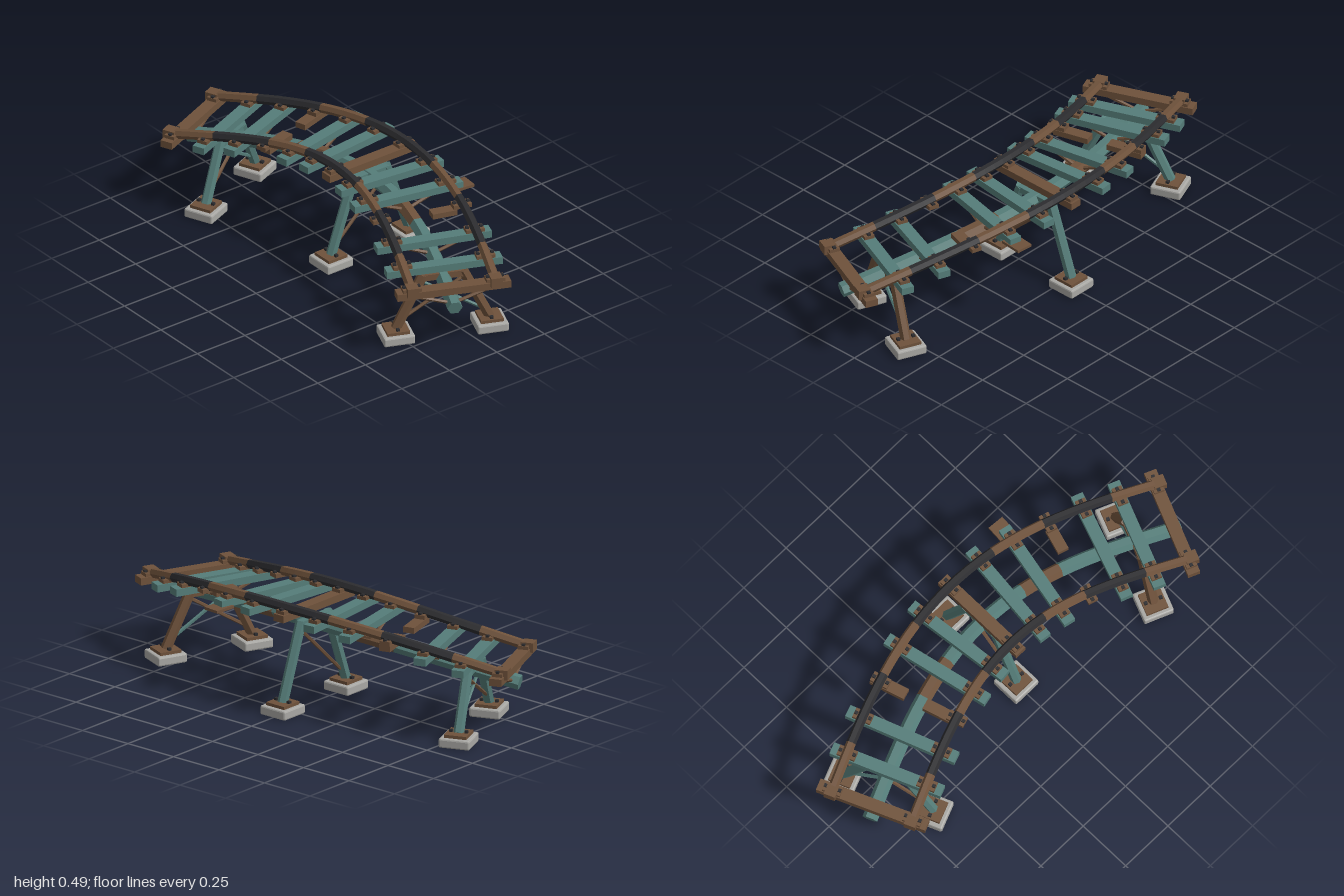
import * as THREE from 'three';
import { RoundedBoxGeometry } from 'three/addons/geometries/RoundedBoxGeometry.js';

const V = (x, y, z) => new THREE.Vector3(x, y, z);
const HALF = 0.885, K = Math.PI / (2 * HALF), GAUGE = 0.18;

export function createModel() {
  const root = new THREE.Group();
  const mat = (name, color) => {
    const m = new THREE.MeshStandardMaterial({ color, flatShading: true });
    m.name = name;
    return m;
  };
  const teal = mat('weathered teal', 0x557d79);
  const brown = mat('rust brown', 0x6f523b);
  const black = mat('dark rail steel', 0x2c2c2f);
  const grey = mat('concrete grey', 0xa9a8a4);

  // Track curve: bends in plan and falls away towards both ends
  const ease = x => 1 - Math.cos(K * x);
  const yaw = x => Math.atan(0.24 * K * Math.sin(K * x));
  const railY = x => 0.467 - 0.138 * ease(x);
  const spineY = x => 0.358 - 0.123 * ease(x);
  const at = (x, side, y) =>
    V(x + side * Math.sin(yaw(x)), y, -0.097 + 0.24 * ease(x) - side * Math.cos(yaw(x)));

  const add = (parent, name, geo, material, p = V(0, 0, 0)) => {
    const m = new THREE.Mesh(geo, material);
    m.name = name;
    m.position.copy(p);
    parent.add(m);
    return m;
  };
  const box = (parent, name, material, w, h, d, x, y, z) =>
    add(parent, name, new THREE.BoxGeometry(w, h, d), material, V(x, y, z));

  // Straight bar between two points
  const bar = (name, material, a, b, r, sides = 6) => {
    const m = add(root, name, new THREE.CylinderGeometry(r, r, a.distanceTo(b), sides), material,
      a.clone().lerp(b, 0.5));
    m.quaternion.setFromUnitVectors(V(0, 1, 0), b.clone().sub(a).normalize());
  };

  // Level group on the track: local x runs along it, local -z to its outer side
  const frame = (name, x, side, y) => {
    const g = new THREE.Group();
    g.name = name;
    g.position.copy(at(x, side, y));
    g.rotation.y = -yaw(x);
    root.add(g);
    return g;
  };

  // Six-sided bar following the track between two x values
  const sweep = (name, material, x0, x1, side, height, r) => {
    const n = Math.max(3, Math.ceil((x1 - x0) / 0.06)), S = 6, pos = [], idx = [];
    for (let i = 0; i <= n; i++) {
      const x = x0 + (x1 - x0) * i / n;
      const c = at(x, side, height(x));
      const t = at(x + 0.01, side, height(x + 0.01)).sub(at(x - 0.01, side, height(x - 0.01))).normalize();
      const out = V(Math.sin(yaw(x)), 0, -Math.cos(yaw(x)));
      const up = t.clone().cross(out).normalize();
      for (let j = 0; j < S; j++) {
        const a = j / S * Math.PI * 2;
        const p = c.clone().addScaledVector(out, r * Math.cos(a)).addScaledVector(up, r * Math.sin(a));
        pos.push(p.x, p.y, p.z);
      }
    }
    for (let i = 0; i < n; i++) for (let j = 0; j < S; j++) {
      const a = i * S + j, b = i * S + (j + 1) % S;
      idx.push(a, b, b + S, a, b + S, a + S);
    }
    // End caps
    for (let j = 1; j < S - 1; j++) {
      idx.push(0, j + 1, j, n * S, n * S + j, n * S + j + 1);
    }
    const g = new THREE.BufferGeometry();
    g.setAttribute('position', new THREE.Float32BufferAttribute(pos, 3));
    g.setIndex(idx);
    const flat = g.toNonIndexed();
    flat.computeVertexNormals();
    add(root, name, flat, material);
  };

  // Spine and rails in coloured lengths
  const spine = [-0.915, -0.4, -0.22, 0.22, 0.4, 0.915];
  for (let i = 0; i < 5; i++)
    sweep('spine', i % 2 ? brown : teal, spine[i], spine[i + 1], 0, spineY, 0.033);
  const rail = [-0.9, -0.7, -0.42, -0.2, 0.2, 0.42, 0.7, 0.9];
  for (const s of [-1, 1]) {
    for (let i = 0; i < 7; i++)
      sweep('rail', i % 2 ? black : brown, rail[i], rail[i + 1], s * GAUGE, railY, 0.021);
    for (const e of [-1, 1]) {
      const g = frame('railEnd', e * 0.897, s * GAUGE, railY(0.897) + 0.002);
      box(g, 'railEndBlock', brown, 0.055, 0.042, 0.05, 0, 0, 0);
    }
  }

  // Cross ties with rail clamps
  for (let i = -6; i <= 6; i++) {
    const x = i * HALF / 6, k = Math.abs(i);
    const g = frame('crossTie', x, 0, railY(x) - (k === 6 ? 0.023 : 0.037));
    if (k !== 3) {
      const rusty = k === 0 || k === 6;
      box(g, 'tie', rusty ? brown : teal, 0.054, 0.032, k === 6 ? 0.49 : rusty ? 0.46 : 0.5, 0, 0, 0);
    } else if (i < 0) {
      // Tie with its middle missing
      box(g, 'brokenTieOuter', brown, 0.05, 0.026, 0.16, 0, 0, -0.14);
      box(g, 'brokenTieInner', brown, 0.05, 0.026, 0.16, 0, 0, 0.11);
    } else {
      box(g, 'brokenTieStub', brown, 0.05, 0.024, 0.11, 0, 0, -0.1);
    }
    for (const s of [-1, 1]) {
      box(g, 'railClamp', brown, 0.045, 0.018, 0.08, 0, 0.022, s * GAUGE);
      for (const o of [-1, 1])
        box(g, 'clampBolt', black, 0.014, 0.01, 0.014, 0, 0.034, s * GAUGE + o * 0.031);
    }
    // V struts from the spine up to the ties
    if (k && k % 2 === 0) for (const s of [-1, 1])
      bar('tieStrut', brown, at(x, 0, spineY(x)), at(x, s * 0.15, railY(x) - 0.045), 0.008, 5);
  }
  // Loose plank hanging off the outer edge
  const plank = box(root, 'loosePlank', brown, 0.075, 0.012, 0.1, 0.34, 0.395, -0.309);
  plank.rotation.y = -0.08;

  // Trestle supports: feet, leaning legs, crossed braces
  for (const x of [-0.728, 0, 0.728]) {
    const legMat = x > 0 ? brown : teal, top = spineY(x) + 0.022;
    for (const s of [-1, 1]) {
      const foot = frame('foot', x, s * 0.2025, 0);
      add(foot, 'footing', new RoundedBoxGeometry(0.135, 0.041, 0.135, 1, 0.007), grey, V(0, 0.0205, 0));
      box(foot, 'basePlate', brown, 0.098, 0.015, 0.098, 0, 0.047, 0);
      for (const o of [-1, 1])
        box(foot, 'anchorBolt', black, 0.014, 0.012, 0.014, o * 0.034, 0.059, 0);
      bar('leg', legMat, at(x, s * 0.2025, 0.05), at(x, s * 0.085, top), 0.023);
      // The middle trestle has only one brace
      if (x !== 0 || s > 0)
        bar('crossBrace', s > 0 ? brown : teal,
          at(x, -s * 0.185, 0.085), at(x, s * 0.095, top - 0.03), 0.008, 5);
    }
    // Short saddle joining leg tops to the spine
    const cap = frame('saddle', x, 0, top - 0.012);
    box(cap, 'saddleBeam', legMat, 0.034, 0.028, 0.18, 0, 0, 0);
  }
  return root;
}
